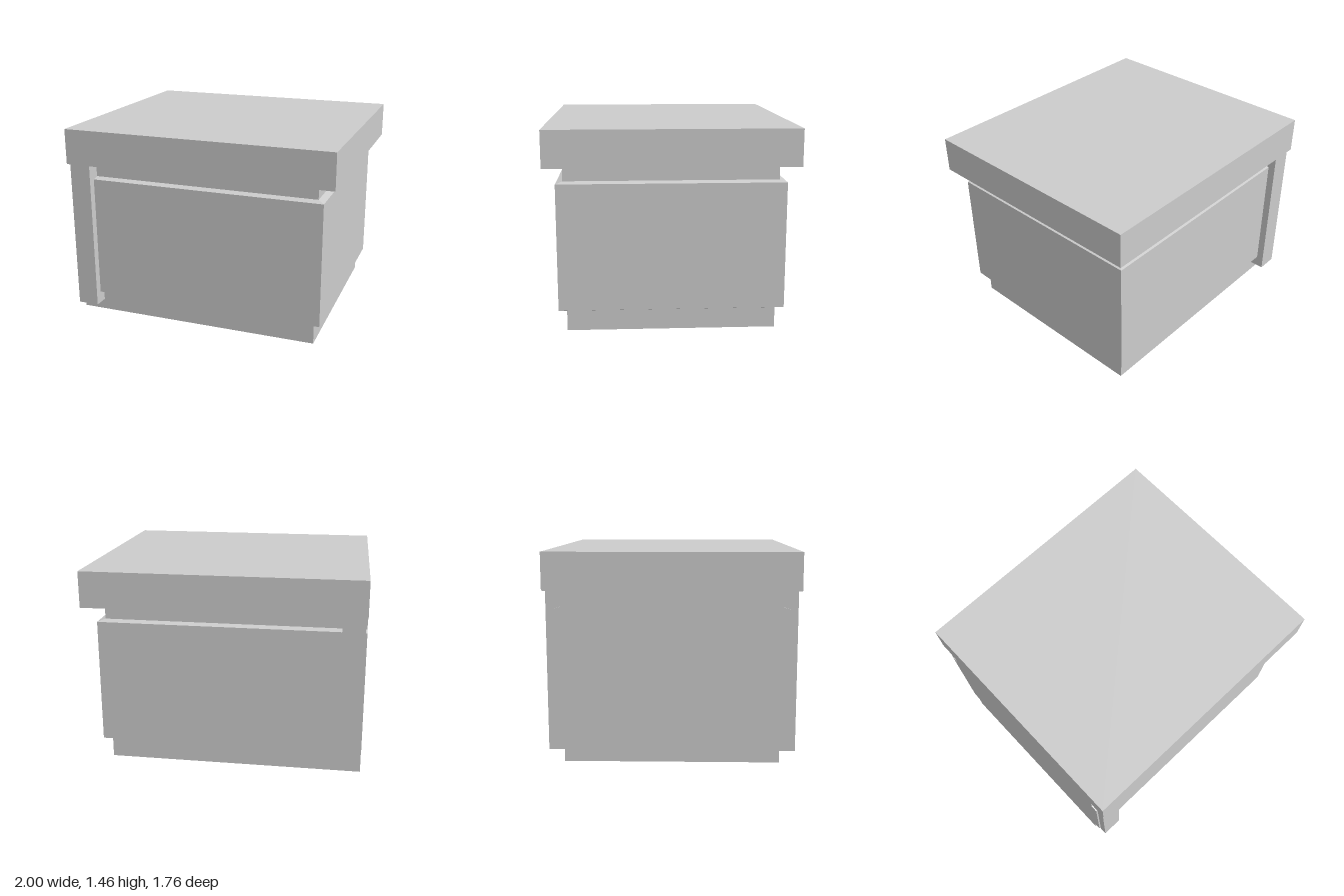
import * as THREE from 'three';

const grey = new THREE.MeshStandardMaterial({ color: 0xcccccc });
grey.name = 'plain grey';

// Rings are [y, right x, half depth]; every ring shares the flat side at x = -1.
function loft(name, rings, capBottom = false, capTop = false) {
  const pos = [];
  const corners = ([y, x, z]) => [[-1, y, z], [x, y, z], [x, y, -z], [-1, y, -z]];
  const quad = (a, b, c, d) => pos.push(...a, ...b, ...c, ...a, ...c, ...d);
  for (let i = 0; i < rings.length - 1; i++) {
    const lo = corners(rings[i]), hi = corners(rings[i + 1]);
    for (let j = 0; j < 4; j++) {
      const k = (j + 1) % 4;
      quad(lo[j], lo[k], hi[k], hi[j]);
    }
  }
  if (capBottom) quad(...corners(rings[0]).reverse());
  if (capTop) quad(...corners(rings[rings.length - 1]));
  const geo = new THREE.BufferGeometry();
  geo.setAttribute('position', new THREE.Float32BufferAttribute(pos, 3));
  geo.computeVertexNormals();
  const mesh = new THREE.Mesh(geo, grey);
  mesh.name = name;
  return mesh;
}

export function createModel() {
  const group = new THREE.Group();
  group.name = 'pedestal';

  // Recessed plinth, main block with bevelled rims, recessed neck and overhanging top
  group.add(
    loft('plinth', [[0, 0.855, 0.745], [0.147, 0.855, 0.745]], true),
    loft('mainBlock', [
      [0.147, 0.855, 0.745], [0.167, 0.908, 0.8],
      [1.072, 0.908, 0.8], [1.085, 0.86, 0.752],
    ]),
    loft('neck', [[1.085, 0.86, 0.752], [1.182, 0.86, 0.752]]),
    loft('topSlab', [[1.182, 0.86, 0.752], [1.194, 1, 0.88], [1.455, 1, 0.88]], false, true),
  );

  // Upright posts on the front and back, next to the flat side
  for (const side of [1, -1]) {
    const post = new THREE.Mesh(new THREE.BoxGeometry(0.157, 1.112, 0.125), grey);
    post.position.set(-0.9085, 0.636, side * 0.7925);
    post.name = side > 0 ? 'frontPost' : 'backPost';
    group.add(post);
  }
  return group;
}
